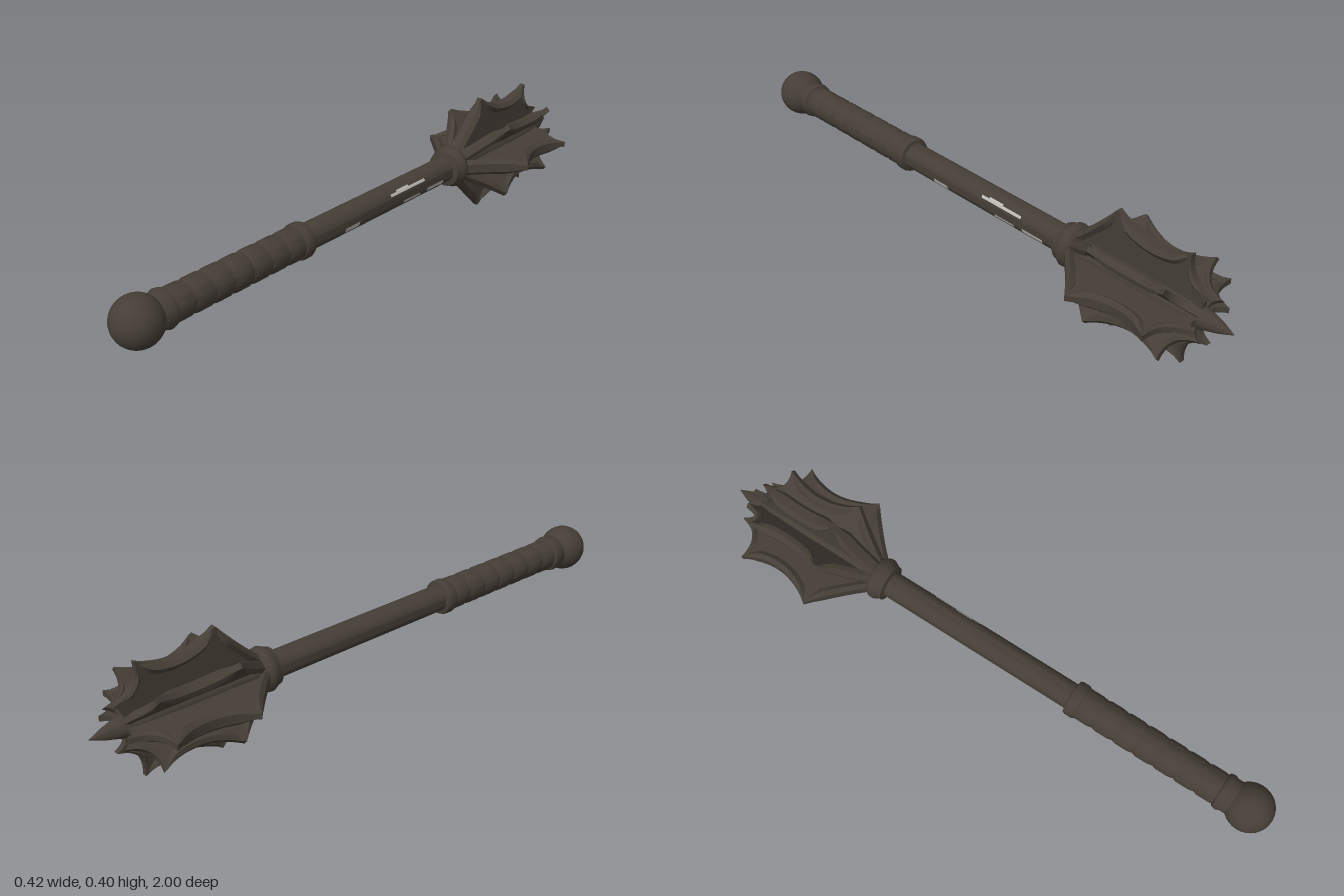
import * as THREE from 'three';
import { toCreasedNormals } from 'three/addons/utils/BufferGeometryUtils.js';

const AXIS_Y = 0.2;

// Turns a list of [radius, z] (rising z) into a round part along z
function turned(points, segments = 32) {
  const g = new THREE.LatheGeometry(points.map(([r, z]) => new THREE.Vector2(r, z)), segments);
  g.rotateX(Math.PI / 2);
  return toCreasedNormals(g, 0.7);
}

// Scalloped flange outline in (radius, z): start, control, end of every hollow edge
const SCALLOPS = [
  [[0.045, -0.425], [0.108, -0.5], [0.206, -0.585]],
  [[0.206, -0.585], [0.112, -0.715], [0.187, -0.845]],
  [[0.187, -0.845], [0.094, -0.835], [0.075, -0.925]],
  [[0.075, -0.925], [0.055, -0.885], [0.024, -0.9]],
];

function scallopCurve(points, scale) {
  const [a, b, c] = points.map(([r, z]) => new THREE.Vector2(r * scale, z));
  return new THREE.QuadraticBezierCurve(a, b, c);
}

// Thin plate that fills the flange
function webGeometry(scale) {
  const shape = new THREE.Shape();
  shape.moveTo(0, -0.425);
  SCALLOPS.forEach((s) => {
    const c = scallopCurve(s, scale);
    shape.lineTo(c.v0.x, c.v0.y);
    shape.quadraticCurveTo(c.v1.x, c.v1.y, c.v2.x, c.v2.y);
  });
  shape.lineTo(0, -0.9);
  const g = new THREE.ExtrudeGeometry(shape, { depth: 0.018, bevelEnabled: false, curveSegments: 12 });
  g.translate(0, 0, -0.009);
  g.rotateX(Math.PI / 2);
  return g;
}

// Thick rim swept along a hollow edge, narrowing to a point at each tip
function rimGeometry(curve, halfWidth, depth, taperStart) {
  const section = [[0, -0.55], [0, 0.55], [0.45, 1], [1, 0.6], [1, -0.6], [0.45, -1]];
  const steps = 16, n = section.length, pos = [], idx = [];
  const length = curve.getLength();
  for (let i = 0; i <= steps; i++) {
    const t = i / steps;
    const p = curve.getPoint(t), d = curve.getTangent(t);
    const reach = (taperStart ? Math.min(t, 1 - t) : 1 - t) * length;
    const k = Math.max(0.06, Math.min(1, Math.pow(reach / 0.055, 0.7)));
    for (const [u, v] of section) {
      pos.push(p.x + d.y * u * depth * k, p.y - d.x * u * depth * k, v * halfWidth * k);
    }
  }
  for (let i = 0; i < steps; i++) {
    for (let j = 0; j < n; j++) {
      const a = i * n + j, b = i * n + (j + 1) % n;
      idx.push(a, b, b + n, a, b + n, a + n);
    }
  }
  const g = new THREE.BufferGeometry();
  g.setAttribute('position', new THREE.Float32BufferAttribute(pos, 3));
  g.setIndex(idx);
  g.rotateX(Math.PI / 2);
  return toCreasedNormals(g, 0.7);
}

export function createModel() {
  const iron = new THREE.MeshStandardMaterial({ color: 0x453e36 });
  iron.name = 'dark iron';
  const worn = new THREE.MeshStandardMaterial({ color: 0xb9b8b3, side: THREE.DoubleSide });
  worn.name = 'worn metal';

  const model = new THREE.Group();
  model.name = 'mace';
  const body = new THREE.Group();
  body.name = 'body';
  body.position.y = AXIS_Y;
  model.add(body);

  const add = (name, geometry, parent = body, material = iron) => {
    const mesh = new THREE.Mesh(geometry, material);
    mesh.name = name;
    parent.add(mesh);
    return mesh;
  };

  // Pommel ball and the ring under it
  add('pommel', new THREE.SphereGeometry(0.077, 32, 24)).position.z = 0.923;
  add('pommelRing', turned([[0.048, 0.82], [0.058, 0.826], [0.061, 0.84], [0.056, 0.852], [0.056, 0.87], [0.04, 0.89]]));

  // Grip with shallow wrap bands
  const grip = [[0.04, 0.31]];
  const bands = 7;
  for (let i = 0; i < bands; i++) {
    const z = 0.325 + i * 0.072;
    grip.push([0.049, z], [0.053, z + 0.012], [0.053, z + 0.055], [0.05, z + 0.07]);
  }
  add('grip', turned(grip));
  add('gripCollar', turned([[0.043, 0.292], [0.055, 0.295], [0.058, 0.303], [0.058, 0.325], [0.054, 0.333], [0.045, 0.336]]));

  // Shaft
  add('shaft', turned([[0.043, -0.42], [0.043, 0.31]]));

  // Worn patches: thin curved plates [z from, z to, angle, angular width]
  [[-0.24, -0.07, 0.56, 0.22], [-0.16, -0.1, 0.72, 0.15], [0.085, 0.15, -0.37, 0.4],
    [-0.215, -0.13, -0.4, 0.25], [-0.335, -0.25, -0.36, 0.35]].forEach(([z0, z1, angle, width]) => {
    const g = new THREE.CylinderGeometry(0.0436, 0.0436, z1 - z0, 4, 1, true, Math.PI / 2 - width / 2, width);
    g.rotateX(Math.PI / 2);
    const patch = add('wornPatch', g, body, worn);
    patch.position.z = (z0 + z1) / 2;
    patch.rotation.z = angle;
  });

  // Head collar, core and end spike
  add('headCollar', turned([[0.04, -0.455], [0.06, -0.448], [0.069, -0.435], [0.071, -0.42],
    [0.065, -0.408], [0.06, -0.4], [0.06, -0.392], [0.043, -0.388]]));
  add('headCore', turned([[0.03, -0.9], [0.04, -0.86], [0.046, -0.72], [0.046, -0.55], [0.05, -0.44]]));
  add('endSpike', turned([[0.0005, -1], [0.018, -0.955], [0.032, -0.905], [0.036, -0.88], [0.02, -0.86]], 12));

  // Eight flanges, broad ones alternating with narrow ones
  for (let i = 0; i < 8; i++) {
    const broad = i % 2 === 0;
    const scale = broad ? (i % 4 === 0 ? 1.02 : 0.97) : 0.86;
    const halfWidth = broad ? 0.027 : 0.02;
    const flange = new THREE.Group();
    flange.name = broad ? 'broadFlange' : 'narrowFlange';
    flange.rotation.z = (i * Math.PI) / 4;
    body.add(flange);
    add('flangeWeb', webGeometry(scale), flange);
    SCALLOPS.forEach((s, k) => {
      const size = k < 2 ? 1 : 0.6;
      add('flangeRim', rimGeometry(scallopCurve(s, scale), halfWidth * size, 0.028 * size, k > 0), flange);
    });
  }
  return model;
}
